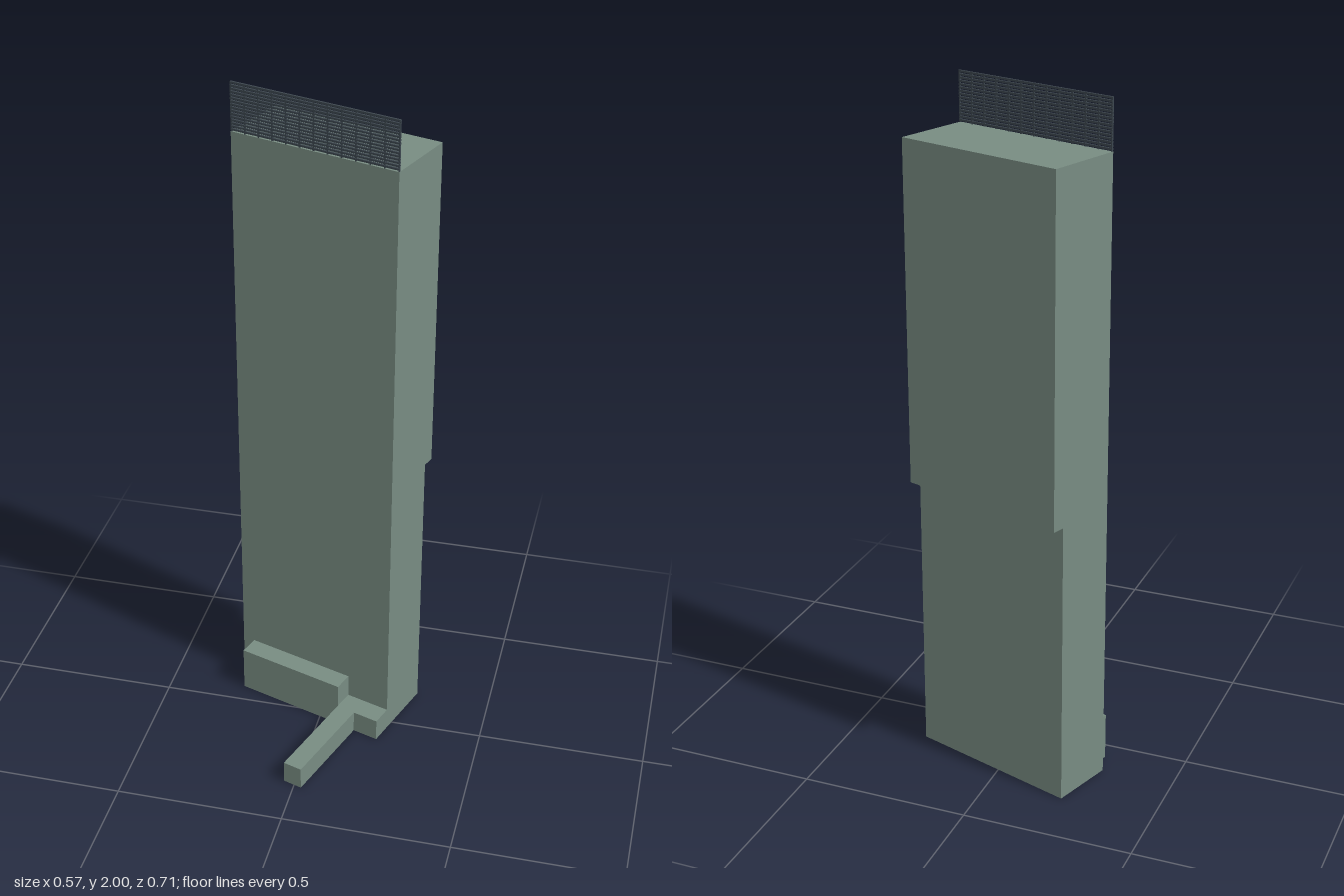
import * as THREE from 'three';

export function createModel() {
  const model = new THREE.Group();
  model.name = 'tower';
  model.rotation.y = -Math.PI / 10; // the footprint is turned 18 degrees

  const wall = new THREE.MeshStandardMaterial({ color: 0x788c82, side: THREE.DoubleSide });
  wall.name = 'greyGreenWall';
  const metal = new THREE.MeshStandardMaterial({ color: 0x3c464e });
  metal.name = 'darkMetal';

  // Box given by its limits; open boxes have neither floor nor back
  function block(name, x0, x1, y0, y1, z0, z1, material = wall, open = false, parent = model) {
    const geometry = new THREE.BoxGeometry(x1 - x0, y1 - y0, z1 - z0);
    if (open) {
      const index = Array.from(geometry.index.array);
      geometry.setIndex([...index.slice(0, 18), ...index.slice(24, 30)]);
      geometry.clearGroups();
    }
    const mesh = new THREE.Mesh(geometry, material);
    mesh.position.set((x0 + x1) / 2, (y0 + y1) / 2, (z0 + z1) / 2);
    mesh.name = name;
    parent.add(mesh);
    return mesh;
  }

  const left = -0.314, right = 0.212, front = -0.039;
  const roof = 1.857, top = 2;

  // Main body, with the upper half overhanging at the back
  block('lowerTower', left, right, 0, 0.857, -0.234, front);
  block('upperTower', left, right, 0.857, roof, -0.273, front);

  // Low hollow volumes along the front
  block('entranceBlock', -0.275, 0.073, 0, 0.143, front, 0.023, wall, true);
  block('sideBlock', 0.132, right, 0, 0.07, front, 0.026, wall, true);
  block('walkway', 0.073, 0.132, 0, 0.07, front, 0.333, wall, true);

  // Louvred screen standing on the front edge of the roof
  const screen = new THREE.Group();
  screen.name = 'roofScreen';
  model.add(screen);
  const slats = 16, pitch = (top - roof) / slats;
  for (let i = 0; i < slats; i++) {
    const y1 = top - i * pitch;
    block('slat', left, right, y1 - pitch * 0.6, y1, front - 0.006, front, metal, false, screen);
  }
  const posts = 13;
  for (let i = 0; i < posts; i++) {
    const x = left + (right - left - 0.004) * i / (posts - 1);
    block('post', x, x + 0.004, roof, top, front - 0.005, front - 0.001, metal, false, screen);
  }

  return model;
}
